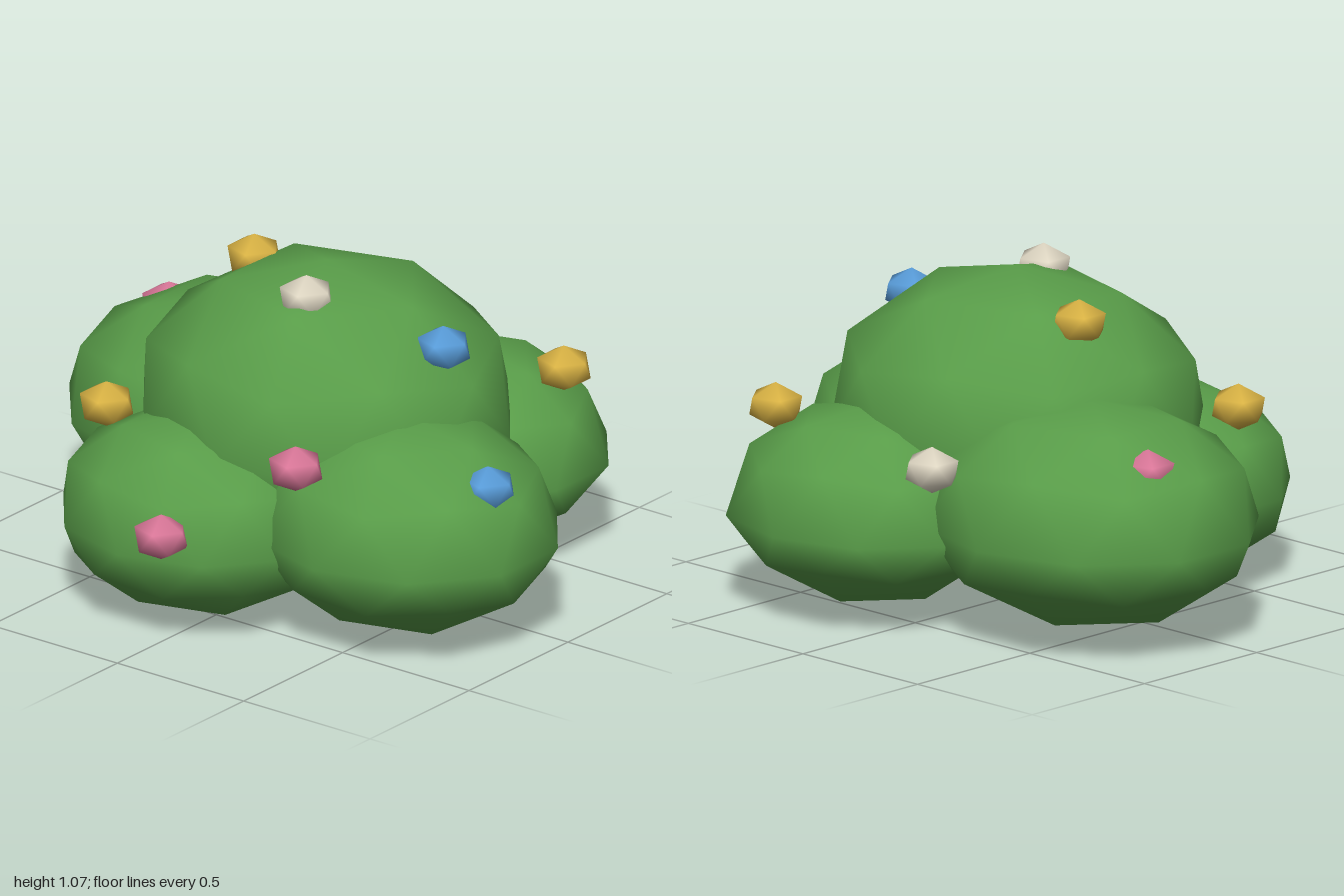
import * as THREE from 'three';
import { mergeVertices } from 'three/addons/utils/BufferGeometryUtils.js';

// Low-poly ball with a vertex at each pole and smooth normals.
// shoulder widens the rings off the equator, sag lowers the equator.
function ball(detail, shoulder = 1, sag = 0) {
  const g = new THREE.IcosahedronGeometry(1, detail);
  g.rotateZ(Math.atan(2 / (1 + Math.sqrt(5))));
  g.rotateY(Math.PI);
  g.deleteAttribute('normal');
  g.deleteAttribute('uv');
  const merged = mergeVertices(g, 1e-4);
  const p = merged.attributes.position;
  for (let i = 0; i < p.count; i++) {
    if (Math.abs(p.getY(i)) < 0.1) p.setY(i, p.getY(i) - sag);
    else p.setXYZ(i, p.getX(i) * shoulder, p.getY(i), p.getZ(i) * shoulder);
  }
  merged.computeVertexNormals();
  return merged;
}

function material(name, color) {
  const m = new THREE.MeshStandardMaterial({ color });
  m.name = name;
  return m;
}

export function createModel() {
  const model = new THREE.Group();
  model.name = 'floweringBush';

  const leaf = material('leaf green', 0x599d49);
  const pink = material('pink', 0xdd799b);
  const yellow = material('yellow', 0xdcb545);
  const blue = material('blue', 0x5a9fdd);
  const cream = material('cream', 0xe2dac6);

  const add = (name, geometry, mat, position, scale) => {
    const mesh = new THREE.Mesh(geometry, mat);
    mesh.name = name;
    mesh.position.set(...position);
    mesh.scale.set(...scale);
    model.add(mesh);
  };

  // Foliage clumps: centre, radii, shoulder and sag
  [
    ['centreFoliage', [0.05, 0.545, 0.005], [0.615, 0.508, 0.575], 1.05, 0],
    ['rightFoliage', [-0.45, 0.395, -0.18], [0.57, 0.36, 0.505], 1, 0.1],
    ['leftFoliage', [0.51, 0.365, 0.195], [0.515, 0.347, 0.468], 0.98, 0.08],
    ['frontFoliage', [-0.11, 0.32, 0.44], [0.463, 0.316, 0.42], 1.03, 0.08],
    ['backFoliage', [0.22, 0.35, -0.48], [0.485, 0.315, 0.43], 0.96, 0.1],
  ].forEach(([name, p, s, shoulder, sag]) => add(name, ball(1, shoulder, sag), leaf, p, s));

  // Blossoms: slightly flattened beads on the foliage
  const bead = ball(0);
  [
    [cream, 0.11, 1.0, 0.185],
    [cream, -0.24, 0.58, -0.67],
    [yellow, -0.3, 0.95, -0.075],
    [yellow, -0.45, 0.595, 0.48],
    [yellow, 0.53, 0.62, -0.58],
    [blue, 0.515, 0.875, 0.01],
    [blue, 0.86, 0.56, 0.225],
    [pink, 0.4, 0.635, 0.61],
    [pink, 0.04, 0.385, 0.83],
    [pink, -0.79, 0.6, -0.27],
  ].forEach(([mat, x, y, z], i) =>
    add(`blossom${i + 1}`, bead, mat, [x, y, z], [0.094, 0.075, 0.092]));

  return model;
}
